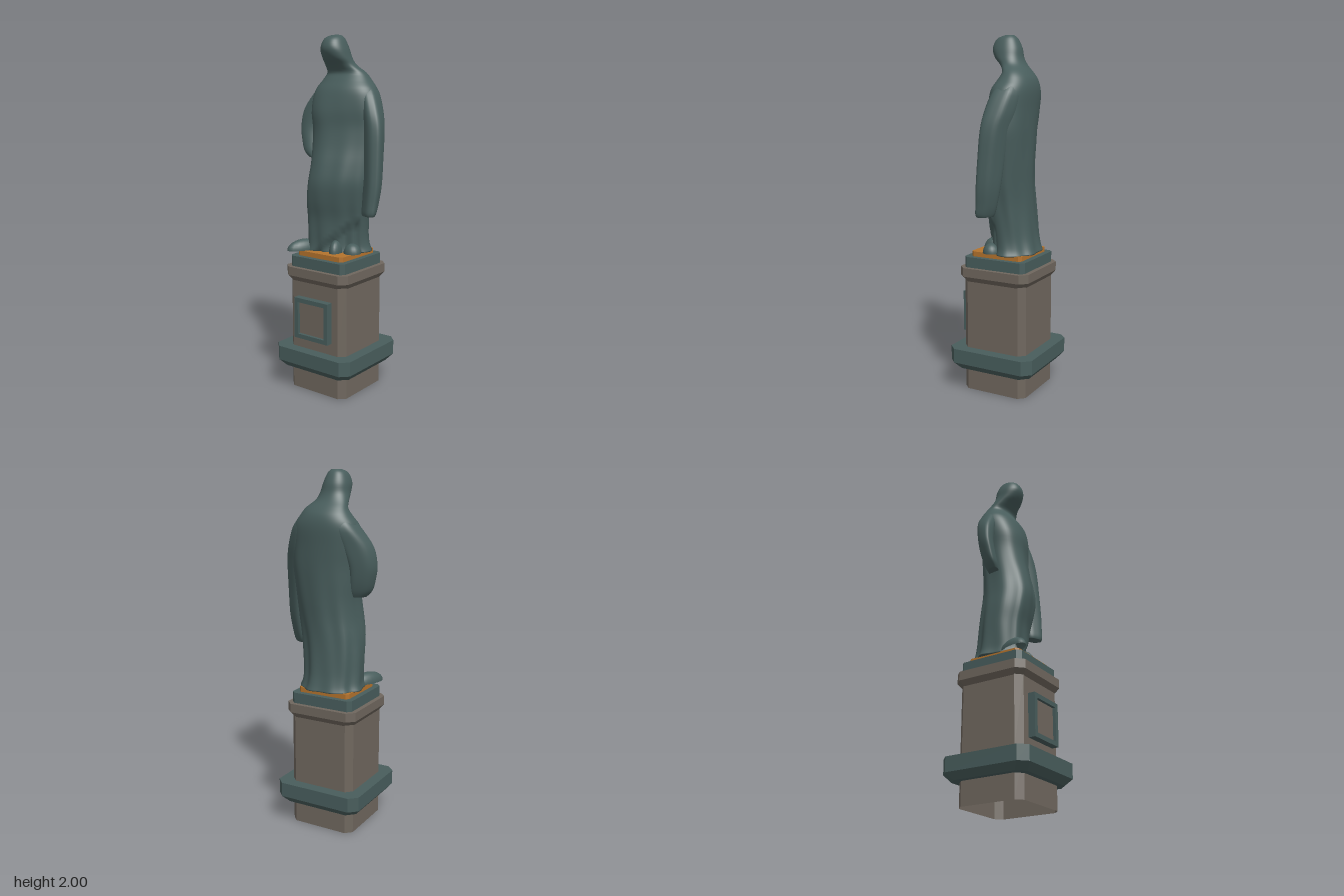
import * as THREE from 'three';

const mat = (name, color) => {
  const m = new THREE.MeshStandardMaterial({ color, side: THREE.DoubleSide });
  m.name = name;
  return m;
};

// Smooth interpolation of a table of rows at fractional position t
function sampleRow(rows, t) {
  const n = rows.length - 1, i = Math.min(Math.floor(t), n - 1), f = t - i;
  const at = (k) => rows[Math.max(0, Math.min(n, k))];
  return rows[0].map((_, c) => {
    const a = at(i - 1)[c], b = at(i)[c], d = at(i + 1)[c], e = at(i + 2)[c];
    return b + 0.5 * f * (d - a + f * (2 * a - 5 * b + 4 * d - e + f * (3 * (b - d) + e - a)));
  });
}

// Rounded form through rows of [y, xMin, xMax, zMin, zMax], listed from top to bottom.
// swell scales each ring by angle, skew turns it by pushing z in step with x.
function loft(name, material, rows, swell, skew, seg = 40, sub = 4) {
  const pos = [], idx = [], mids = [], rings = (rows.length - 1) * sub + 1;
  for (let i = 0; i < rings; i++) {
    const [y, x0, x1, z0, z1] = sampleRow(rows, i / sub);
    const cx = (x0 + x1) / 2, cz = (z0 + z1) / 2;
    mids.push([cx, y, cz]);
    for (let j = 0; j < seg; j++) {
      const a = (j / seg) * Math.PI * 2, c = Math.cos(a), s = Math.sin(a);
      const dx = Math.sign(c) * Math.abs(c) ** 0.92 * (x1 - x0) / 2;
      const dz = Math.sign(s) * Math.abs(s) ** 0.92 * (z1 - z0) / 2 + skew(a, y) * dx;
      const k = swell(a, y, cx + dx);
      pos.push(cx + k * dx, y, cz + k * dz);
    }
  }
  for (let i = 0; i < rings - 1; i++) for (let j = 0; j < seg; j++) {
    const a = i * seg + j, b = i * seg + (j + 1) % seg;
    idx.push(a, b, a + seg, b, b + seg, a + seg);
  }
  // Close both ends
  const top = pos.length / 3, last = (rings - 1) * seg;
  pos.push(...mids[0], ...mids[rings - 1]);
  for (let j = 0; j < seg; j++) {
    const k = (j + 1) % seg;
    idx.push(top, k, j, top + 1, last + j, last + k);
  }
  const g = new THREE.BufferGeometry();
  g.setAttribute('position', new THREE.Float32BufferAttribute(pos, 3));
  g.setIndex(idx);
  g.computeVertexNormals();
  const m = new THREE.Mesh(g, material);
  m.name = name;
  return m;
}

// Square block with cut corners through levels of [y, halfWidth], listed upward, open below
function block(name, material, levels, cut, lid = true) {
  const pos = [], idx = [];
  for (const [y, h] of levels) {
    const c = h - cut;
    for (const [x, z] of [[h, -c], [h, c], [c, h], [-c, h], [-h, c], [-h, -c], [-c, -h], [c, -h]]) pos.push(x, y, z);
  }
  for (let i = 0; i < levels.length - 1; i++) for (let j = 0; j < 8; j++) {
    const a = i * 8 + j, b = i * 8 + (j + 1) % 8;
    idx.push(a, a + 8, b, b, a + 8, b + 8);
  }
  const t = (levels.length - 1) * 8;
  if (lid) for (let j = 1; j < 7; j++) idx.push(t, t + j + 1, t + j);
  let g = new THREE.BufferGeometry();
  g.setAttribute('position', new THREE.Float32BufferAttribute(pos, 3));
  g.setIndex(idx);
  g = g.toNonIndexed();
  g.computeVertexNormals();
  const m = new THREE.Mesh(g, material);
  m.name = name;
  return m;
}

// Half dome resting on the top plate
function dome(name, material, x, z, size, yaw = 0) {
  const m = new THREE.Mesh(new THREE.SphereGeometry(1, 20, 8, 0, Math.PI * 2, 0, Math.PI / 2), material);
  m.name = name;
  m.position.set(x, 0.809, z);
  m.scale.set(...size);
  m.rotation.y = yaw;
  return m;
}

export function createModel() {
  const bronze = mat('bronze', 0x485d5c);
  const stone = mat('stone', 0x6f675e);
  const ochre = mat('ochre', 0xb4732d);
  const model = new THREE.Group();
  model.name = 'statueOnPedestal';

  // Pedestal, slightly off the middle
  const pedestal = new THREE.Group();
  pedestal.name = 'pedestal';
  pedestal.position.x = -0.026;
  pedestal.add(
    block('foot', stone, [[0, 0.195], [0.249, 0.195]], 0.035, false),
    block('baseBand', bronze, [[0.13, 0.196], [0.13, 0.228], [0.168, 0.26], [0.25, 0.26]], 0.045),
    block('shaft', stone, [[0.25, 0.195], [0.645, 0.195]], 0.035),
    block('cornice', stone, [[0.64, 0.195], [0.67, 0.216], [0.72, 0.216]], 0.04),
    block('upperStep', bronze, [[0.72, 0.19], [0.78, 0.19]], 0.022),
    block('topPlate', ochre, [[0.78, 0.158], [0.808, 0.158]], 0.016)
  );

  // Framed panel on the front of the shaft
  const square = (T, h) => {
    const s = new T();
    s.moveTo(-h, -h); s.lineTo(h, -h); s.lineTo(h, h); s.lineTo(-h, h); s.closePath();
    return s;
  };
  const outline = square(THREE.Shape, 0.118);
  outline.holes.push(square(THREE.Path, 0.093));
  const frame = new THREE.Mesh(new THREE.ExtrudeGeometry(outline, { depth: 0.044, bevelEnabled: false }), bronze);
  frame.name = 'panelFrame';
  frame.position.set(0, 0.437, 0.191);
  const panel = new THREE.Mesh(new THREE.PlaneGeometry(0.186, 0.186), stone);
  panel.name = 'panel';
  panel.position.set(0, 0.437, 0.218);
  pedestal.add(frame, panel);
  model.add(pedestal);

  const figure = new THREE.Group();
  figure.name = 'robedFigure';

  // Head, mantle and robe; the front hem rises to the left over a tucked underskirt
  const robeFolds = (a, y, x) => {
    const low = THREE.MathUtils.clamp((1.75 - y) / 0.9, 0, 1);
    const hem = 0.81 + THREE.MathUtils.clamp((x + 0.1) * 0.8, 0, 0.18);
    const tuck = THREE.MathUtils.smoothstep(hem - y, 0, 0.03) * THREE.MathUtils.smoothstep(Math.sin(a), 0.1, 0.35);
    return 1 + low * (0.03 * Math.sin(7 * a + 5 * y) + 0.02 * Math.sin(11 * a - 4 * y))
      - tuck * (0.14 - 0.04 * Math.sin(12 * a));
  };
  // Below the neck the front leans towards the right leg
  const robeSkew = (a, y) => -0.32 * Math.max(0, Math.sin(a)) * (1 - THREE.MathUtils.smoothstep(y, 1.5, 1.8));
  figure.add(loft('headAndRobe', bronze, [
    [2.0, -0.05, 0.0, -0.03, 0.02],
    [1.98, -0.08, 0.025, -0.052, 0.068],
    [1.93, -0.1, 0.047, -0.075, 0.09],
    [1.88, -0.103, 0.06, -0.085, 0.07],
    [1.84, -0.112, 0.075, -0.105, 0.03],
    [1.8, -0.125, 0.118, -0.14, 0.002],
    [1.76, -0.15, 0.15, -0.165, 0.025],
    [1.7, -0.185, 0.195, -0.175, 0.062],
    [1.6, -0.185, 0.21, -0.17, 0.085],
    [1.5, -0.17, 0.215, -0.165, 0.085],
    [1.4, -0.165, 0.205, -0.16, 0.1],
    [1.3, -0.162, 0.195, -0.155, 0.125],
    [1.2, -0.17, 0.185, -0.15, 0.143],
    [1.1, -0.183, 0.168, -0.15, 0.135],
    [1.0, -0.188, 0.155, -0.155, 0.115],
    [0.9, -0.188, 0.148, -0.165, 0.11],
    [0.84, -0.19, 0.152, -0.178, 0.11],
    [0.806, -0.2, 0.165, -0.19, 0.115]
  ], robeFolds, robeSkew, 80));

  // Left arm hanging under the mantle
  figure.add(loft('leftSleeve', bronze, [
    [1.76, 0.07, 0.14, -0.13, -0.05],
    [1.7, 0.08, 0.198, -0.145, -0.01],
    [1.6, 0.1, 0.245, -0.13, 0.015],
    [1.5, 0.12, 0.272, -0.105, 0.025],
    [1.35, 0.14, 0.279, -0.08, 0.035],
    [1.2, 0.155, 0.28, -0.06, 0.045],
    [1.1, 0.16, 0.27, -0.04, 0.052],
    [1.05, 0.16, 0.264, -0.025, 0.055],
    [1.03, 0.165, 0.255, -0.015, 0.05]
  ], (a) => 1 + 0.03 * Math.sin(6 * a), () => 0.35));

  // Right arm bent back and out, returning to the hip
  figure.add(loft('rightSleeve', bronze, [
    [1.76, -0.145, -0.07, -0.13, -0.04],
    [1.7, -0.192, -0.08, -0.145, -0.015],
    [1.6, -0.255, -0.11, -0.115, 0.0],
    [1.5, -0.272, -0.14, -0.09, 0.01],
    [1.42, -0.258, -0.14, -0.075, 0.02],
    [1.36, -0.237, -0.13, -0.06, 0.025],
    [1.325, -0.205, -0.13, -0.045, 0.02]
  ], (a) => 1 + 0.03 * Math.sin(5 * a), () => -0.45));

  // Feet and trailing hem corner
  figure.add(
    dome('rightFoot', bronze, -0.165, 0.115, [0.045, 0.06, 0.108], -0.4),
    dome('leftFoot', bronze, 0.025, 0.065, [0.036, 0.07, 0.062], 0.25),
    dome('hemCorner', bronze, 0.115, 0.035, [0.05, 0.055, 0.048])
  );
  model.add(figure);
  return model;
}
